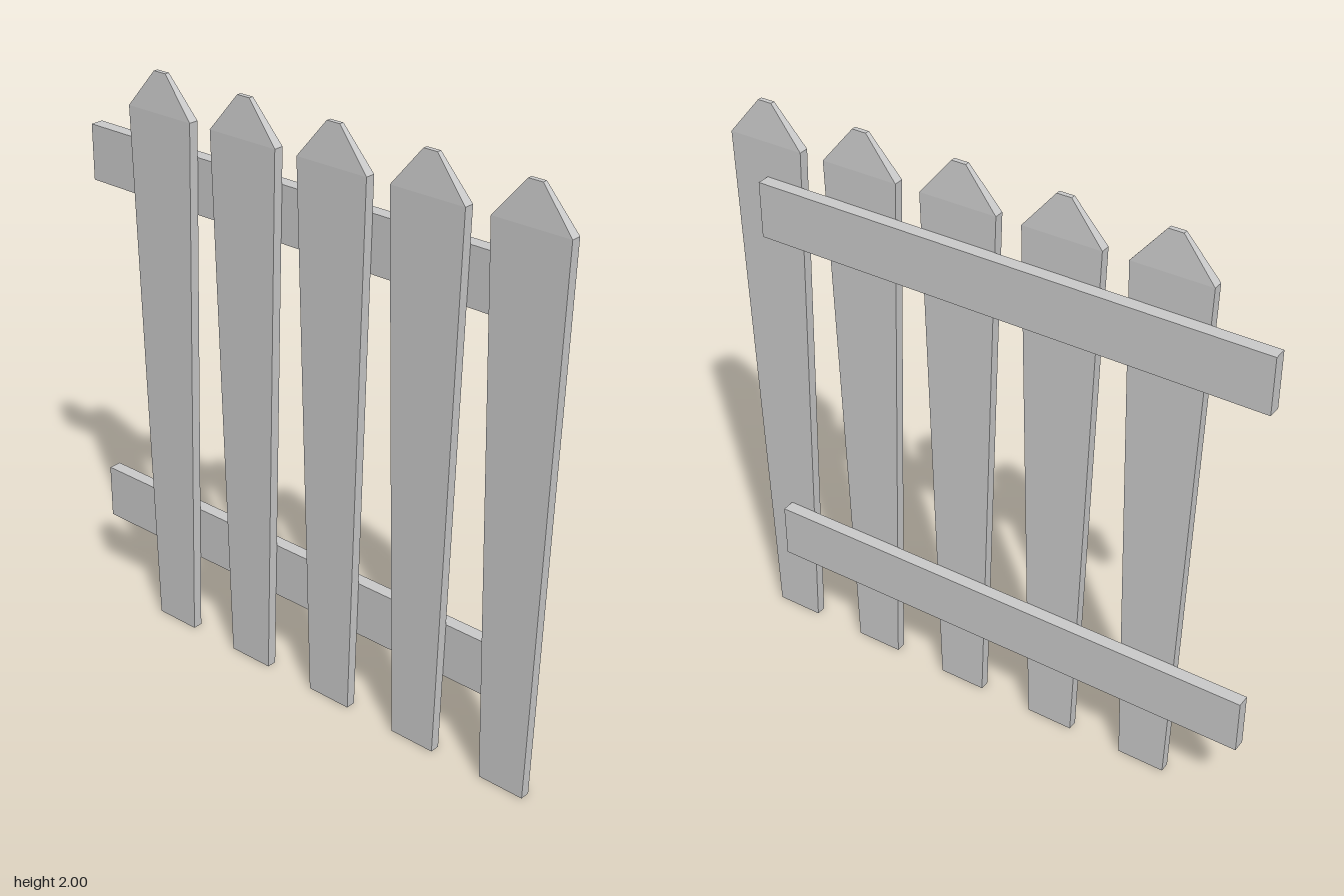
import * as THREE from 'three';

// Plank cross-sections from foot to tip: height, half width, half thickness
const SECTIONS = [
  { y: 0, w: 0.083, t: 0.017 },
  { y: 1.868, w: 0.135, t: 0.017 },
  { y: 2, w: 0.025, t: 0.008 },
];

// Box with one extra ring, reshaped so it widens to the shoulder and pinches to a blunt tip
function picketGeometry() {
  const box = new THREE.BoxGeometry(2, 2, 2, 1, 2, 1);
  const pos = box.attributes.position;
  for (let i = 0; i < pos.count; i++) {
    const s = SECTIONS[Math.round(pos.getY(i)) + 1];
    pos.setXYZ(i, pos.getX(i) * s.w, s.y, pos.getZ(i) * s.t);
  }
  const flat = box.toNonIndexed();
  flat.computeVertexNormals();
  return flat;
}

export function createModel() {
  const fence = new THREE.Group();
  fence.name = 'picketFence';
  const material = new THREE.MeshStandardMaterial({ color: 0xcccccc, flatShading: true });

  // Five pointed planks along the front
  const picket = picketGeometry();
  for (let i = 0; i < 5; i++) {
    const mesh = new THREE.Mesh(picket, material);
    mesh.name = `picket${i + 1}`;
    mesh.position.set(-0.605 + i * 0.3565, 0, 0.0225);
    fence.add(mesh);
  }

  // Two rails behind, overhanging on one end only
  const rail = new THREE.BoxGeometry(1.782, 0.192, 0.045);
  for (const [name, y] of [['lowerRail', 0.376], ['upperRail', 1.652]]) {
    const mesh = new THREE.Mesh(rail, material);
    mesh.name = name;
    mesh.position.set(-0.069, y, -0.017);
    fence.add(mesh);
  }

  return fence;
}
